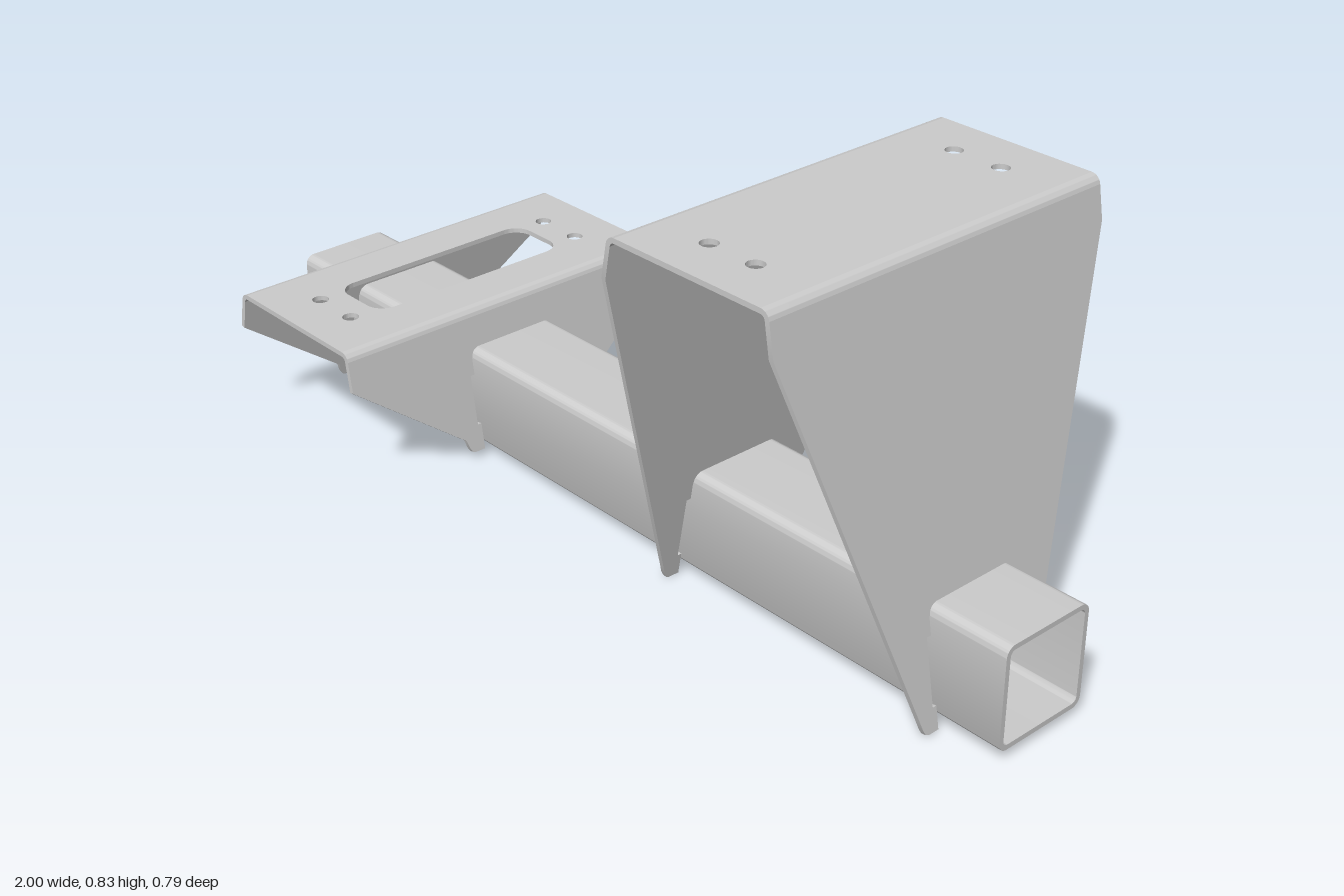
import * as THREE from 'three';
import { toCreasedNormals } from 'three/addons/utils/BufferGeometryUtils.js';

const THICK = 0.01, BEND = 0.02, HALF_DEPTH = 0.395, BEND_X = 0.168;
const SLOPE = THREE.MathUtils.degToRad(10);
const material = new THREE.MeshStandardMaterial({ color: 0xcccccc });

function roundedRect(path, x0, y0, x1, y1, r) {
  path.moveTo(x0 + r, y0);
  path.absarc(x1 - r, y0 + r, r, -Math.PI / 2, 0);
  path.absarc(x1 - r, y1 - r, r, 0, Math.PI / 2);
  path.absarc(x0 + r, y1 - r, r, Math.PI / 2, Math.PI);
  path.absarc(x0 + r, y0 + r, r, Math.PI, Math.PI * 1.5);
  path.closePath();
  return path;
}

function extrude(shape, depth) {
  const geo = new THREE.ExtrudeGeometry(shape, { depth, bevelEnabled: false, curveSegments: 10 });
  return toCreasedNormals(geo, Math.PI / 6);
}

function part(name, geo) {
  const mesh = new THREE.Mesh(geo, material);
  mesh.name = name;
  return mesh;
}

// Hollow square beam along x
function crossBeam() {
  const shape = roundedRect(new THREE.Shape(), -0.105, 0.02, 0.105, 0.23, 0.02);
  shape.holes.push(roundedRect(new THREE.Path(), -0.095, 0.03, 0.095, 0.22, 0.011));
  return part('crossBeam', extrude(shape, 2).rotateY(Math.PI / 2).translate(-1, 0, 0));
}

// Flat top with bolt holes and an optional slot
function topPlate(height, holeXs, slot) {
  const shape = new THREE.Shape([
    [-BEND_X, -HALF_DEPTH], [BEND_X, -HALF_DEPTH], [BEND_X, HALF_DEPTH], [-BEND_X, HALF_DEPTH],
  ].map(([x, y]) => new THREE.Vector2(x, y)));
  for (const x of holeXs) {
    for (const z of [-0.293, 0.293]) {
      const hole = new THREE.Path();
      hole.absarc(x, z, 0.017, 0, Math.PI * 2, true);
      shape.holes.push(hole);
    }
  }
  if (slot) shape.holes.push(roundedRect(new THREE.Path(), ...slot));
  return part('topPlate', extrude(shape, THICK).rotateX(-Math.PI / 2).translate(0, height - THICK, 0));
}

// Bent edge and sloping leg, notched to straddle the beam
function bracketSide(height, foot, recess) {
  const side = new THREE.Group();
  side.name = 'bracketSide';

  const arc = new THREE.Shape();
  arc.absarc(0, 0, BEND, SLOPE, Math.PI / 2);
  arc.absarc(0, 0, BEND - THICK, Math.PI / 2, SLOPE, true);
  arc.closePath();
  side.add(part('bend', extrude(arc, 2 * HALF_DEPTH).translate(BEND_X, height - BEND, -HALF_DEPTH)));

  // Half outline as [z, y], from the bend down to the foot and up the notch
  const startY = height - BEND + BEND * Math.sin(SLOPE);
  const half = [
    [HALF_DEPTH, startY], [HALF_DEPTH, height - 0.08],
    [0.149, foot + 0.03], [0.143, foot + 0.012], [0.138, foot + 0.003], [0.13, foot], [0.107, foot],
    [0.107, recess], [0.116, recess], [0.116, 0.175], [0.106, 0.175],
    [0.106, 0.21], [0.075, 0.21], [0.075, 0.228],
  ];
  const outline = [...half, ...half.map(([z, y]) => [-z, y]).reverse()];
  const shape = new THREE.Shape(
    outline.map(([z, y]) => new THREE.Vector2(z, (y - startY) / Math.cos(SLOPE))));
  const leg = part('leg', extrude(shape, THICK));
  const c = Math.cos(SLOPE), s = Math.sin(SLOPE);
  leg.geometry.applyMatrix4(new THREE.Matrix4().makeBasis(
    new THREE.Vector3(0, 0, 1), new THREE.Vector3(-s, c, 0), new THREE.Vector3(-c, -s, 0)));
  leg.position.set(BEND_X + BEND * c, startY, 0);
  side.add(leg);
  return side;
}

function bracket(name, { x, height, foot, recess, holeXs, slot }) {
  const group = new THREE.Group();
  group.name = name;
  group.add(topPlate(height, holeXs, slot));
  for (const turn of [0, Math.PI]) {
    const side = bracketSide(height, foot, recess);
    side.rotation.y = turn;
    group.add(side);
  }
  group.position.x = x;
  return group;
}

export function createModel() {
  const model = new THREE.Group();
  model.name = 'beamWithBrackets';
  model.add(
    crossBeam(),
    bracket('tallBracket', {
      x: 0.54, height: 0.83, foot: 0, recess: 0.045, holeXs: [-0.053, 0.053],
    }),
    bracket('shortBracket', {
      x: -0.607, height: 0.31, foot: 0.015, recess: 0.07, holeXs: [-0.053, 0.053],
      slot: [-0.073, -0.238, 0.073, 0.238, 0.04],
    }),
  );
  return model;
}
